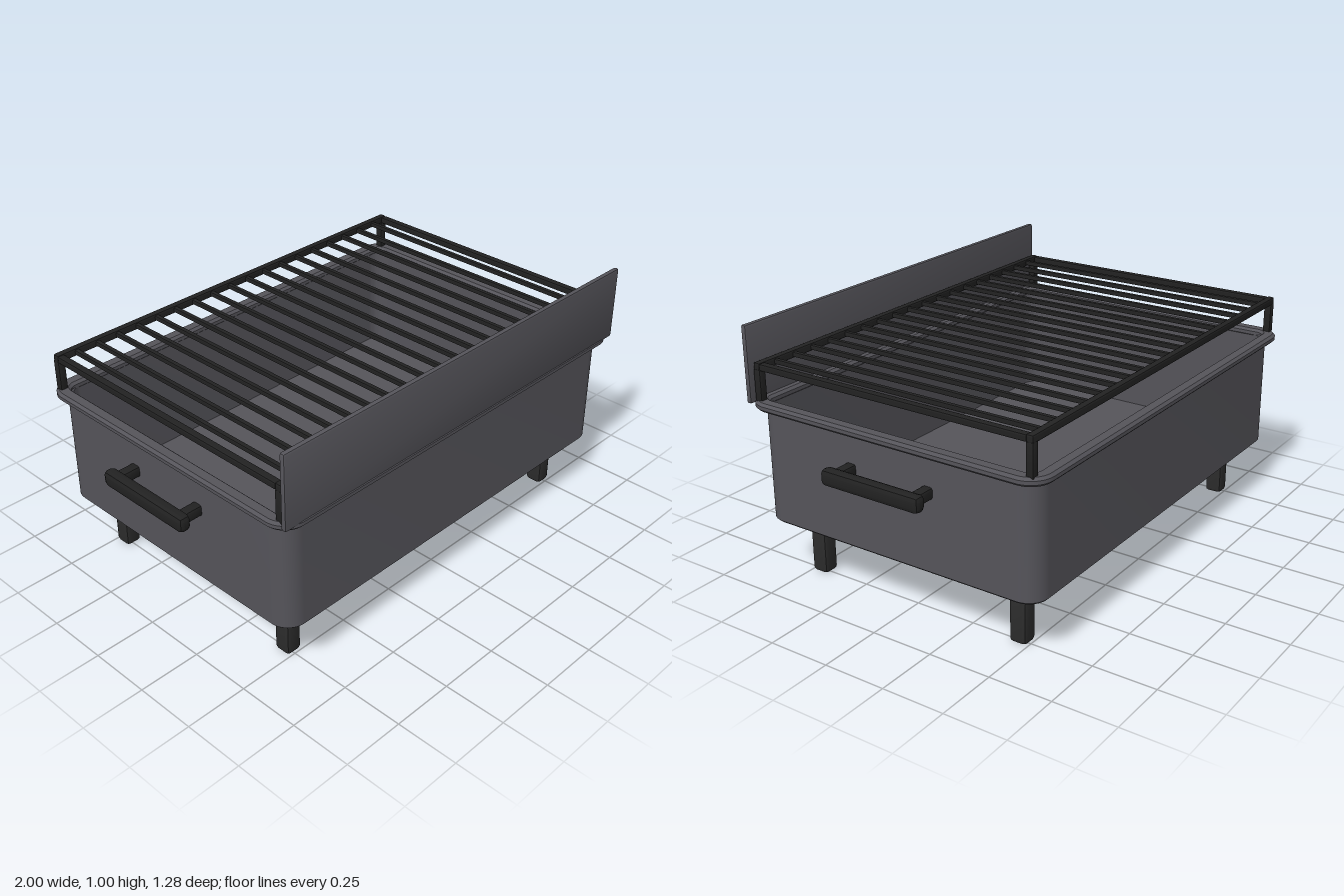
import * as THREE from 'three';
import { toCreasedNormals } from 'three/addons/utils/BufferGeometryUtils.js';
import { RoundedBoxGeometry } from 'three/addons/geometries/RoundedBoxGeometry.js';

// Rounded rectangle outline with half sizes w, d and corner radius r
function roundedRect(target, w, d, r) {
  target.moveTo(-w + r, -d);
  target.lineTo(w - r, -d);
  target.absarc(w - r, -d + r, r, -Math.PI / 2, 0, false);
  target.lineTo(w, d - r);
  target.absarc(w - r, d - r, r, 0, Math.PI / 2, false);
  target.lineTo(-w + r, d);
  target.absarc(-w + r, d - r, r, Math.PI / 2, Math.PI, false);
  target.lineTo(-w, -d + r);
  target.absarc(-w + r, -d + r, r, Math.PI, Math.PI * 1.5, false);
  return target;
}

// Upright slab from y0 to y1, optionally hollowed to a given wall thickness
function slab(w, d, r, y0, y1, bevel, wall) {
  const shape = roundedRect(new THREE.Shape(), w, d, r);
  if (wall) shape.holes.push(roundedRect(new THREE.Path(), w - wall, d - wall, r - wall));
  const geo = new THREE.ExtrudeGeometry(shape, {
    depth: y1 - y0 - 2 * bevel, curveSegments: 6,
    bevelEnabled: bevel > 0, bevelThickness: bevel, bevelSize: bevel,
    bevelOffset: -bevel, bevelSegments: 1,
  });
  geo.rotateX(-Math.PI / 2).translate(0, y0 + bevel, 0);
  return toCreasedNormals(geo, 0.6);
}

export function createModel() {
  const model = new THREE.Group();
  model.name = 'tabletopGrill';

  const steel = new THREE.MeshStandardMaterial({ name: 'grey steel', color: 0x55545a });
  const legBlack = new THREE.MeshStandardMaterial({ name: 'charcoal', color: 0x2d2d2d });
  const iron = new THREE.MeshStandardMaterial({ name: 'black iron', color: 0x222222 });

  const add = (name, geo, mat, x = 0, y = 0, z = 0) => {
    const mesh = new THREE.Mesh(geo, mat);
    mesh.name = name;
    mesh.position.set(x, y, z);
    model.add(mesh);
    return mesh;
  };
  // Box with chamfered edges
  const bar = (w, h, d, chamfer) => toCreasedNormals(new RoundedBoxGeometry(w, h, d, 1, chamfer), 0.4);

  // Open fire box with floor and rim
  add('fireBoxWalls', slab(0.885, 0.61, 0.08, 0.235, 0.7, 0.008, 0.02), steel);
  add('fireBoxFloor', slab(0.874, 0.599, 0.069, 0.236, 0.255, 0, 0), steel);
  add('rim', slab(0.917, 0.642, 0.09, 0.682, 0.716, 0.01, 0.055), steel);

  // Wind shield standing on the front rim
  add('windShield', bar(1.82, 0.3, 0.022, 0.008), steel, 0, 0.85, 0.628);

  // Legs and the posts that carry the grate
  for (const x of [-1, 1]) {
    for (const z of [-1, 1]) {
      add('leg', bar(0.066, 0.245, 0.07, 0.014), legBlack, x * 0.745, 0.1225, z * 0.46);
      add('gratePost', bar(0.03, 0.14, 0.03, 0.004), iron, x * 0.88, 0.765, z * 0.592);
    }
  }

  // Grate frame
  for (const s of [-1, 1]) {
    add('grateLongRail', bar(1.79, 0.032, 0.03, 0.008), iron, 0, 0.845, s * 0.592);
    add('grateSideRail', bar(0.03, 0.028, 1.16, 0.007), iron, s * 0.88, 0.845, 0);
  }

  // Grate bars
  for (let i = 0; i < 18; i++) {
    add('grateBar', bar(0.019, 0.02, 1.17, 0.005), iron, (i - 8.5) * 0.095, 0.845, 0);
  }

  // Side handles
  for (const s of [-1, 1]) {
    add('handleGrip', bar(0.05, 0.064, 0.43, 0.018), iron, s * 0.975, 0.547, 0);
    for (const z of [-0.17, 0.17]) {
      add('handleBracket', bar(0.09, 0.044, 0.042, 0.009), iron, s * 0.92, 0.547, z);
    }
  }

  return model;
}
